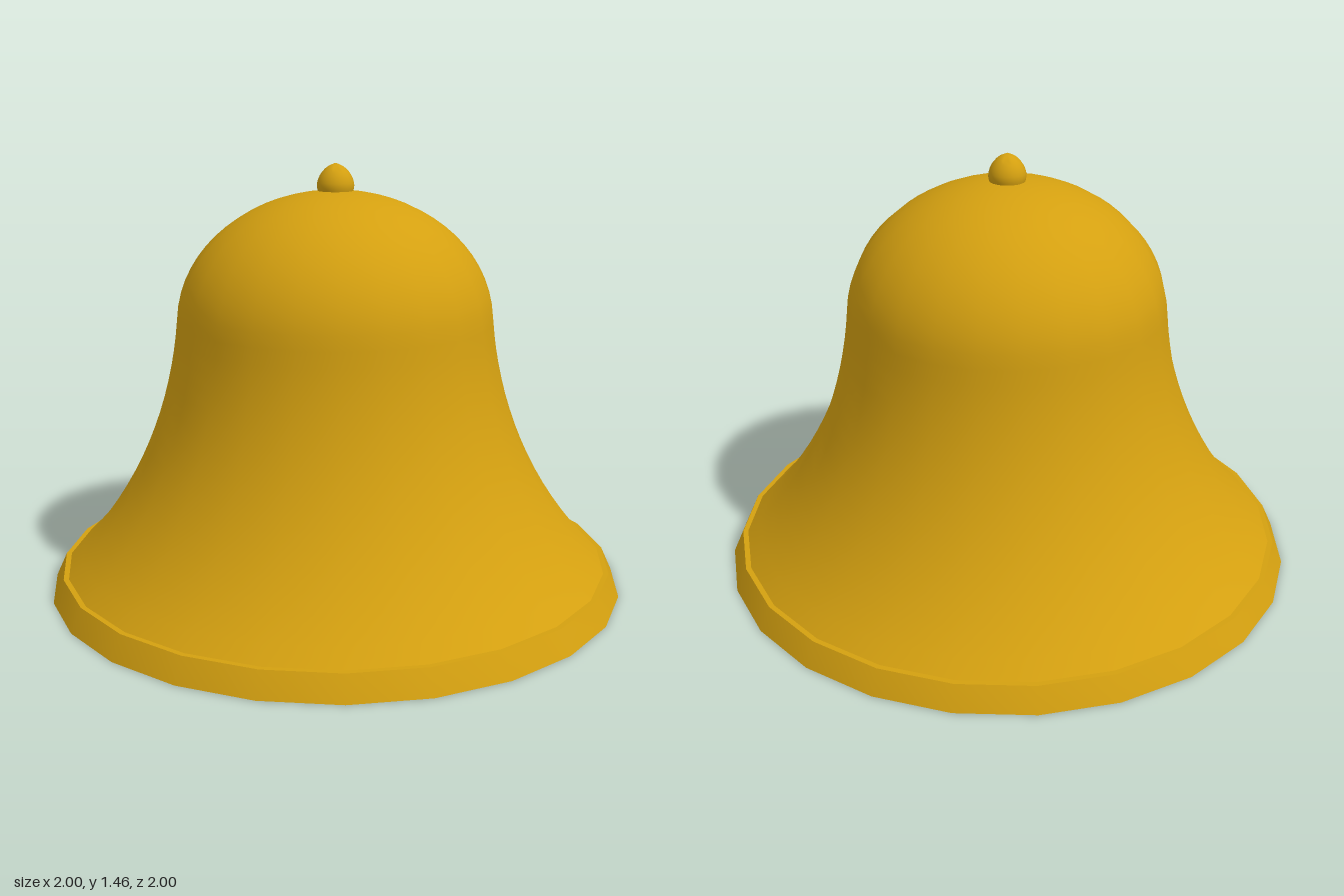
import * as THREE from 'three';
import { toCreasedNormals } from 'three/addons/utils/BufferGeometryUtils.js';

const SIDES = 24;
const v = (x, y) => new THREE.Vector2(x, y);

export function createModel() {
  const group = new THREE.Group();
  const brass = new THREE.MeshStandardMaterial({ color: 0xd4a010 });
  const thinBrass = new THREE.MeshStandardMaterial({ color: 0xd4a010, side: THREE.DoubleSide });

  const add = (name, geometry, material) => {
    const mesh = new THREE.Mesh(geometry, material);
    mesh.name = name;
    group.add(mesh);
  };

  // Hollow shell: flared skirt running smoothly into a domed crown
  const skirt = new THREE.CubicBezierCurve(v(0.945, 0.08), v(0.68, 0.33), v(0.57, 0.65), v(0.545, 0.93));
  const crown = new THREE.CubicBezierCurve(v(0.545, 0.93), v(0.53, 1.19), v(0.28, 1.37), v(0, 1.37));
  const profile = [...skirt.getPoints(16), ...crown.getPoints(16).slice(1)];
  add('bellShell', new THREE.LatheGeometry(profile, SIDES), thinBrass);

  // Lip ring: sloped outside, flat top and bottom, upright inside
  const lip = [v(0.945, 0), v(1, 0), v(0.963, 0.08), v(0.945, 0.08), v(0.945, 0)];
  add('lipRing', toCreasedNormals(new THREE.LatheGeometry(lip, SIDES), 0.5), brass);

  // Small pointed knob on top
  const side = new THREE.SplineCurve([
    v(0.06, 1.368), v(0.063, 1.39), v(0.053, 1.42), v(0.03, 1.447), v(0, 1.461),
  ]);
  const knob = [v(0, 1.368), ...side.getPoints(10)];
  add('topKnob', toCreasedNormals(new THREE.LatheGeometry(knob, SIDES), 0.7), brass);

  return group;
}
